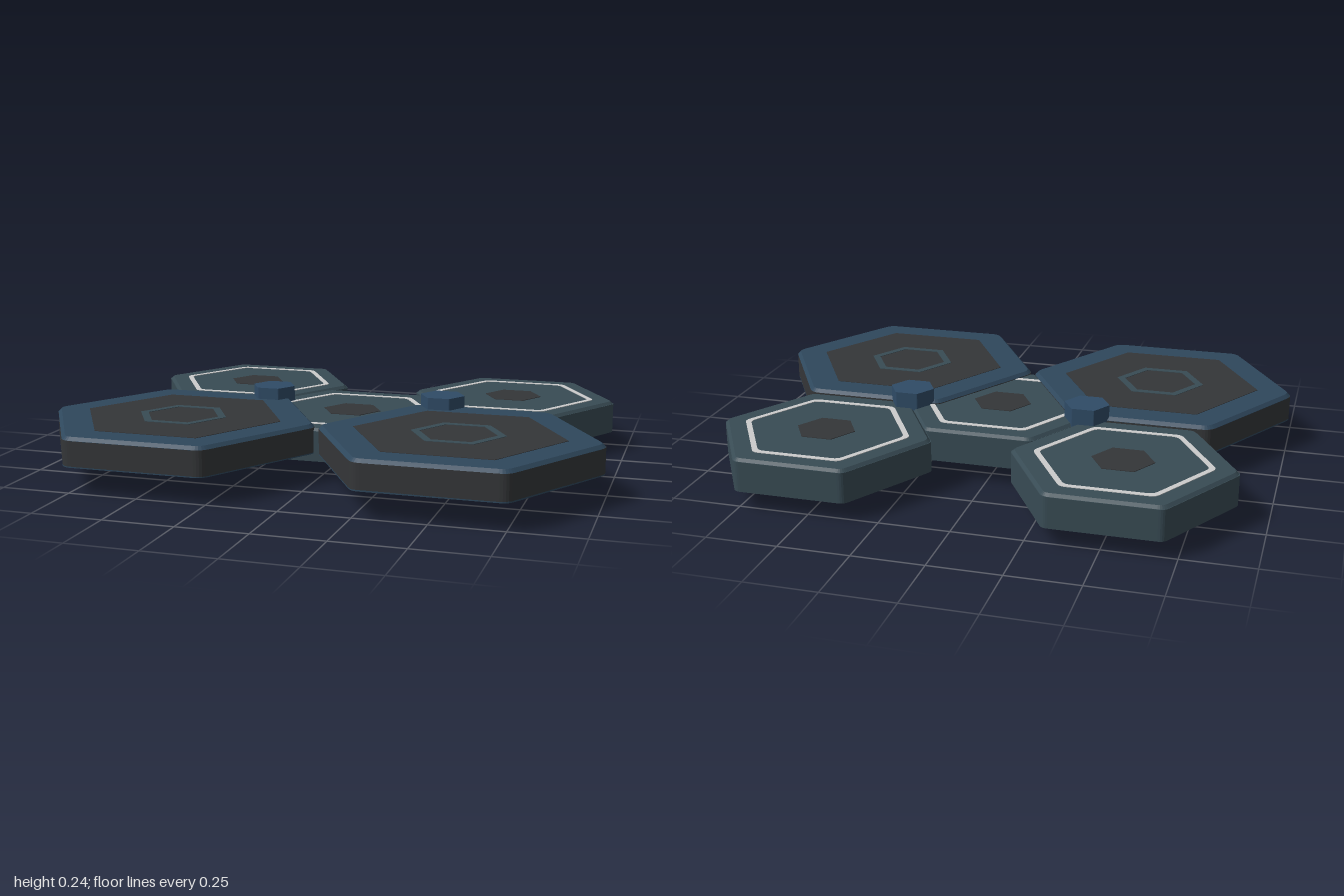
import * as THREE from 'three';

const paint = (color) => new THREE.MeshStandardMaterial({ color });
const blue = paint(0x2e475c);
const pinBlue = paint(0x2f4b66);
const teal = paint(0x384b54);
const dark = paint(0x343638);
const pale = paint(0xbdbdbd);

// Hexagon outline with corners on the x axis; t is how far each corner is cut back
function trace(path, radius, t) {
  const corner = (i) => new THREE.Vector2(Math.cos(i * Math.PI / 3), Math.sin(i * Math.PI / 3)).multiplyScalar(radius);
  for (let i = 0; i < 6; i++) {
    const c = corner(i);
    const a = c.clone().lerp(corner(i - 1), t / radius);
    const b = c.clone().lerp(corner(i + 1), t / radius);
    if (i === 0) path.moveTo(a.x, a.y);
    else path.lineTo(a.x, a.y);
    if (t > 0) path.quadraticCurveTo(c.x, c.y, b.x, b.y);
  }
  path.closePath();
  return path;
}

// Upright hexagonal slab from y0 to y1, with an optional hole and edge bevel
function slab(name, material, radius, y0, y1, { t = 0, hole = 0, bevel = 0 } = {}) {
  const shape = trace(new THREE.Shape(), radius - bevel * 2 / Math.sqrt(3), t);
  if (hole) shape.holes.push(trace(new THREE.Path(), hole, t));
  const geometry = new THREE.ExtrudeGeometry(shape, {
    depth: y1 - y0 - 2 * bevel, curveSegments: 5,
    bevelEnabled: bevel > 0, bevelSize: bevel, bevelThickness: bevel, bevelSegments: 1,
  });
  geometry.translate(0, 0, y0 + bevel);
  geometry.rotateX(-Math.PI / 2);
  const mesh = new THREE.Mesh(geometry, material);
  mesh.name = name;
  return mesh;
}

function place(name, x, z, ...parts) {
  const group = new THREE.Group();
  group.name = name;
  group.position.set(x, 0, z);
  group.add(...parts);
  return group;
}

// Large blue tile with dark sides, a dark inlay and a thin ring
const largeTile = (name, x, z) => place(name, x, z,
  slab('base', blue, 0.502, 0.095, 0.1, { t: 0.028 }),
  slab('sides', dark, 0.502, 0.099, 0.188, { t: 0.028 }),
  slab('topPlate', blue, 0.502, 0.175, 0.2, { t: 0.026, bevel: 0.012 }),
  slab('darkInlay', dark, 0.372, 0.195, 0.2015),
  slab('innerRing', teal, 0.166, 0.196, 0.203, { hole: 0.136 }));

// Small tile with a pale ring, a dark centre and a dark underside panel
const smallTile = (name, x, z) => place(name, x, z,
  slab('body', teal, 0.3926, 0.066, 0.175, { t: 0.02 }),
  slab('topPlate', teal, 0.3926, 0.159, 0.185, { t: 0.018, bevel: 0.012 }),
  slab('paleRing', pale, 0.312, 0.18, 0.187, { t: 0.02, hole: 0.29 }),
  slab('centreInlay', dark, 0.108, 0.18, 0.187),
  slab('undersidePanel', dark, 0.31, 0.0645, 0.07));

// Hexagonal pin joining three tiles
const pin = (name, x, z) => place(name, x, z,
  slab('pinBody', pinBlue, 0.083, 0, 0.243, { t: 0.004 }));

export function createModel() {
  const model = new THREE.Group();
  model.name = 'hexagonTileCluster';
  model.add(
    largeTile('frontRightTile', -0.505, 0.335),
    largeTile('frontLeftTile', 0.505, 0.335),
    smallTile('backRightTile', -0.51, -0.438),
    smallTile('backLeftTile', 0.556, -0.435),
    smallTile('middleTile', 0.03, 0),
    pin('rightPin', -0.309, -0.088),
    pin('leftPin', 0.353, -0.088));
  return model;
}
